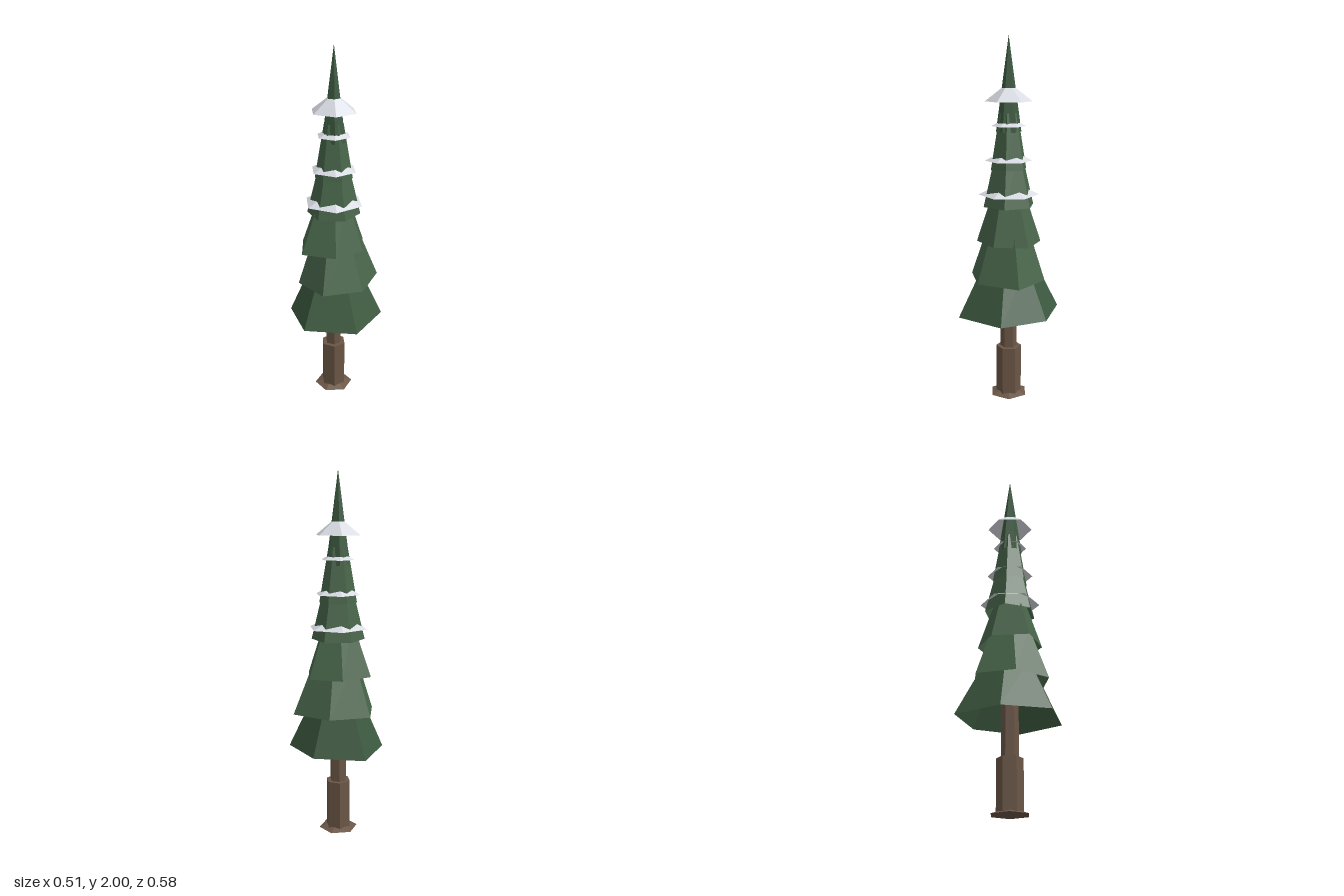
import * as THREE from 'three';

const AXIS = 0.01; // the trunk stands slightly off centre

const material = (color) =>
  new THREE.MeshStandardMaterial({ color, flatShading: true, side: THREE.DoubleSide });

// Six corners [x, z], running from +z towards +x
function hexagon(radius, turnDegrees) {
  return Array.from({ length: 6 }, (_, i) => {
    const a = THREE.MathUtils.degToRad(turnDegrees + i * 60);
    return [AXIS + radius * Math.sin(a), radius * Math.cos(a)];
  });
}

// Six-sided sleeve: corners at the bottom, shrunk towards the axis at the top
function taper(name, mat, corners, y0, y1, topScale, open = true) {
  const geo = new THREE.CylinderGeometry(Math.max(topScale, 0), 1, y1 - y0, 6, 1, open);
  const pos = geo.attributes.position;
  for (let i = 0; i < pos.count; i++) {
    const [x, z] = [pos.getX(i), pos.getZ(i)];
    const y = pos.getY(i);
    const k = y > 0 ? topScale : 1;
    // cap centres stay on the axis, all other vertices move to their corner
    if (Math.hypot(x, z) < 1e-6 && k > 0) {
      pos.setXYZ(i, AXIS, y, 0);
      continue;
    }
    const side = i < 14 ? i % 7 % 6 : (Math.round(Math.atan2(x, z) / (Math.PI / 3)) + 6) % 6;
    const [cx, cz] = corners[side];
    pos.setXYZ(i, AXIS + (cx - AXIS) * k, y, cz * k);
  }
  geo.computeVertexNormals();
  const mesh = new THREE.Mesh(geo, mat);
  mesh.name = name;
  mesh.position.y = (y0 + y1) / 2;
  return mesh;
}

export function createModel() {
  const tree = new THREE.Group();
  tree.name = 'snowyPine';
  const bark = material(0x6b5646);
  const darkGreen = material(0x3d5a40);
  const green = material(0x48654a);
  const snow = material(0xd8dbe2);

  // Trunk: flared foot, thick lower part, thin upper part
  tree.add(
    taper('trunkFoot', bark, hexagon(0.108, 0), 0, 0.015, 0.6, false),
    taper('lowerTrunk', bark, hexagon(0.07, 30), 0.005, 0.285, 1, false),
    taper('upperTrunk', bark, hexagon(0.046, 30), 0.28, 0.75, 1, false),
  );

  // Hollow foliage skirts; the lower three are uneven
  const tiers = [
    [[[-0.04, 0.29], [0.22, 0.175], [0.255, -0.09], [0.065, -0.295], [-0.18, -0.16], [-0.255, 0.095]],
      0.49, 0.48, darkGreen],
    [[[0.05, 0.22], [0.255, 0.085], [0.175, -0.13], [-0.03, -0.225], [-0.18, -0.07], [-0.16, 0.14]],
      0.695, 0.52, green],
    [[[-0.08, 0.15], [0.1, 0.15], [0.21, 0], [0.1, -0.15], [-0.085, -0.165], [-0.2, 0]],
      0.9, 0.44, green],
    [hexagon(0.145, -10), 1.1, 0.5, green],
    [hexagon(0.102, -10), 1.3, 0.5, green],
  ];
  tiers.forEach(([corners, y, topScale, mat], i) =>
    tree.add(taper(`foliageTier${i + 1}`, mat, corners, y, y + 0.3, topScale)));
  tree.add(taper('treeTip', darkGreen, hexagon(0.068, 30), 1.5, 2, 0));

  // Snow collars: shallow rings cut by the foliage: [radius, bottom, top, top scale]
  const collars = [
    [0.165, 1.16, 1.2, 0.5],
    [0.128, 1.345, 1.38, 0.45],
    [0.094, 1.53, 1.555, 0.5],
    [0.127, 1.66, 1.732, 0.27],
  ];
  collars.forEach(([r, y0, y1, topScale], i) =>
    tree.add(taper(`snowCollar${i + 1}`, snow, hexagon(r, 30), y0, y1, topScale)));

  return tree;
}
